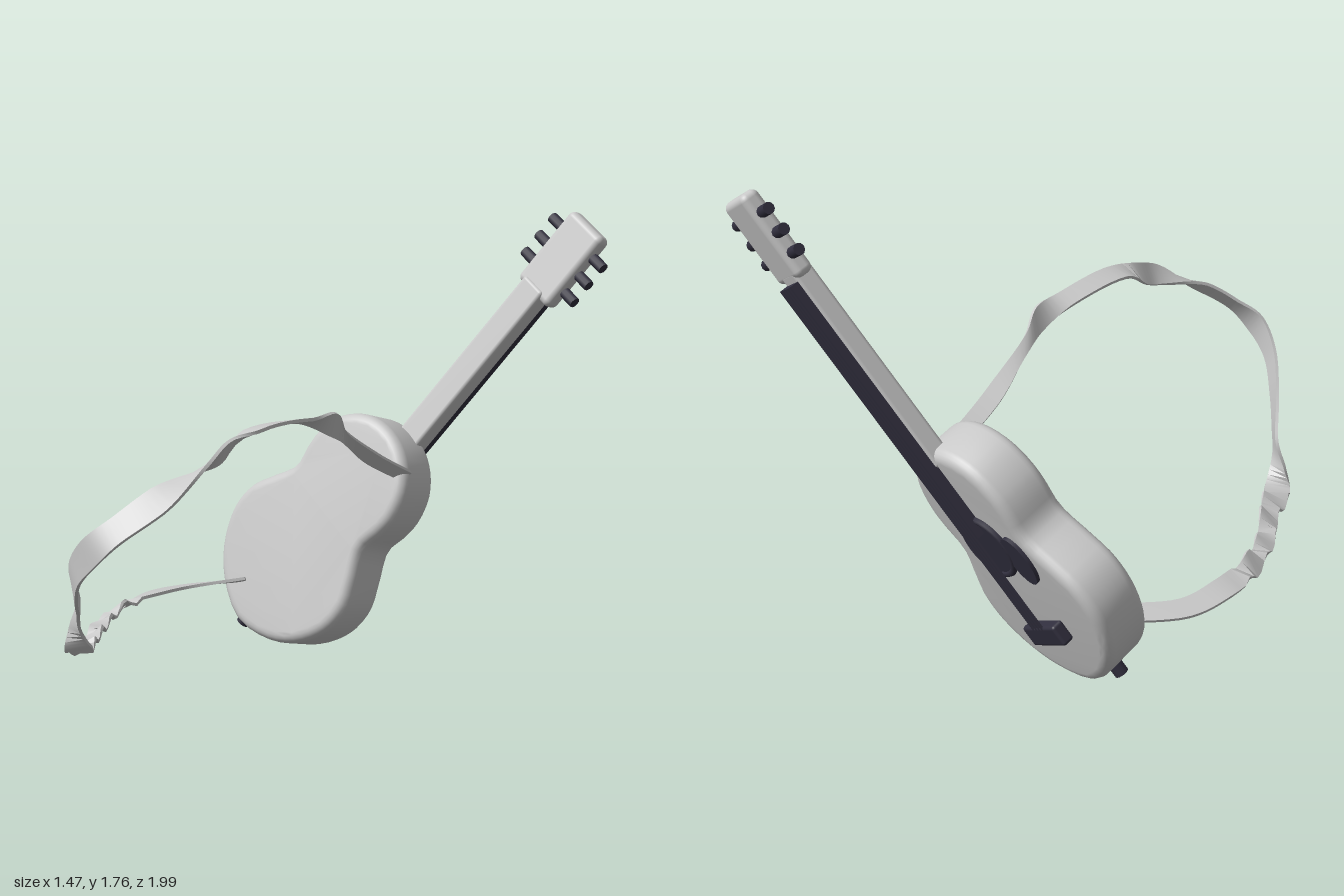
import * as THREE from 'three';
import { toCreasedNormals } from 'three/addons/utils/BufferGeometryUtils.js';
import { RoundedBoxGeometry } from 'three/addons/geometries/RoundedBoxGeometry.js';

const pale = new THREE.MeshStandardMaterial({ name: 'pale grey', color: 0xc9c9c9 });
const dark = new THREE.MeshStandardMaterial({ name: 'dark navy', color: 0x32303f });

function add(parent, name, geometry, material, x = 0, y = 0, z = 0) {
  const mesh = new THREE.Mesh(geometry, material);
  mesh.name = name;
  mesh.position.set(x, y, z);
  parent.add(mesh);
  return mesh;
}

const rounded = (w, h, d, r) => new RoundedBoxGeometry(w, h, d, 3, r);

// Figure-of-eight body: half profile mirrored, then extruded with soft edges
function bodyGeometry() {
  const half = [[0.09, 0.88], [0.17, 0.835], [0.23, 0.765], [0.262, 0.66], [0.258, 0.58], [0.243, 0.49],
    [0.3, 0.38], [0.35, 0.28], [0.357, 0.18], [0.33, 0.09], [0.265, -0.01], [0.165, -0.09]];
  const outline = [[0, 0.895], ...half, [0, -0.143], ...half.map(([x, y]) => [-x, y]).reverse()];
  const curve = new THREE.CatmullRomCurve3(outline.map(([x, y]) => new THREE.Vector3(x, y, 0)), true);
  const points = curve.getPoints(72).slice(0, -1).map((p) => new THREE.Vector2(p.x, p.y));
  const geometry = new THREE.ExtrudeGeometry(new THREE.Shape(points), {
    depth: 0.135, bevelThickness: 0.04, bevelSize: 0.04, bevelOffset: -0.04, bevelSegments: 5,
  });
  return toCreasedNormals(geometry, 0.7);
}

// Ribbon of thin rectangular cross-sections: each row is centre x, y, z and half-width vector
function strapGeometry() {
  const rows = [
    [0.13, 0.77, -0.52, 0.025, 0.02, 0], [0.14, 0.88, -0.3, 0.03, 0.02, 0],
    [0.17, 1.0, -0.1, 0.02, 0.03, 0.02], [0.195, 1.07, 0, 0.015, 0.045, 0],
    [0.185, 1.11, 0.15, 0.038, 0.01, 0], [0.18, 1.12, 0.42, 0.042, 0.008, 0],
    [0.17, 1.07, 0.55, 0.02, 0.04, 0], [0.165, 1.03, 0.65, 0.035, 0.02, 0.02],
    [0.11, 0.94, 0.82, 0.045, -0.03, 0.015], [0.03, 0.85, 0.93, 0.035, -0.035, 0.02],
    [-0.05, 0.77, 0.98, 0.03, -0.04, 0], [-0.14, 0.68, 0.965, 0.03, -0.035, 0.01],
    [-0.25, 0.56, 0.87, 0.03, -0.03, 0.02], [-0.35, 0.45, 0.76, 0.03, -0.025, 0.03],
    [-0.39, 0.36, 0.74, 0.04, 0, 0.01], [-0.42, 0.27, 0.7, 0.04, 0.01, -0.03],
    [-0.48, 0.265, 0.58, 0.035, 0.02, -0.01], [-0.59, 0.26, 0.42, 0.03, 0.01, -0.015],
    [-0.66, 0.26, 0.25, 0.03, 0.025, 0], [-0.685, 0.265, 0.05, 0.045, 0.01, 0],
    [-0.66, 0.26, -0.12, 0.04, 0.01, 0.015], [-0.52, 0.27, -0.32, 0.02, 0.015, 0.03],
  ];
  const path = new THREE.CatmullRomCurve3(rows.map((r) => new THREE.Vector3(r[0], r[1], r[2])));
  const spread = new THREE.CatmullRomCurve3(rows.map((r) => new THREE.Vector3(r[3], r[4], r[5])));
  const steps = 126;
  const position = [];
  const index = [];
  for (let i = 0; i <= steps; i++) {
    const t = i / steps;
    const c = path.getPoint(t);
    const w = spread.getPoint(t);
    // creases in the lower run
    if (t > 0.72 && t < 0.88) w.y += 0.02 * Math.sin(i * 1.3);
    const n = path.getTangent(t).cross(w).normalize().multiplyScalar(0.006);
    for (const [a, b] of [[1, 1], [-1, 1], [-1, -1], [1, -1]]) {
      const p = c.clone().addScaledVector(w, a).addScaledVector(n, b);
      position.push(p.x, p.y, p.z);
    }
    if (i === steps) continue;
    for (let k = 0; k < 4; k++) {
      const a = i * 4 + k;
      const b = i * 4 + (k + 1) % 4;
      index.push(a, b, b + 4, a, b + 4, a + 4);
    }
  }
  const e = steps * 4;
  index.push(0, 2, 1, 0, 3, 2, e, e + 1, e + 2, e, e + 2, e + 3);
  const geometry = new THREE.BufferGeometry();
  geometry.setAttribute('position', new THREE.Float32BufferAttribute(position, 3));
  geometry.setIndex(index);
  return toCreasedNormals(geometry, 0.8);
}

export function createModel() {
  const model = new THREE.Group();
  model.name = 'guitarWithStrap';

  // Guitar leans back, turned in its own plane; its playing side faces -z
  const lean = new THREE.Group();
  lean.name = 'guitarLean';
  lean.rotation.x = -0.298;
  model.add(lean);
  const turn = new THREE.Group();
  turn.name = 'guitarTurn';
  turn.rotation.z = -0.59;
  lean.add(turn);
  const guitar = new THREE.Group();
  guitar.name = 'guitar';
  guitar.position.x = -0.55;
  turn.add(guitar);

  add(guitar, 'body', bodyGeometry(), pale, 0, 0, -0.395);
  add(guitar, 'neck', rounded(0.113, 0.84, 0.08, 0.015), pale, 0, 1.25, -0.405);
  add(guitar, 'headstock', rounded(0.19, 0.335, 0.072, 0.025), pale, 0.008, 1.802, -0.409);
  add(guitar, 'fretboard', new THREE.BoxGeometry(0.1, 1.08, 0.045), dark, 0, 1.09, -0.4525);
  add(guitar, 'bridge', rounded(0.23, 0.085, 0.05, 0.012), dark, 0, 0.11, -0.456);

  // Strings
  for (let i = 0; i < 4; i++) {
    add(guitar, 'string', new THREE.BoxGeometry(0.01, 1.52, 0.008), dark, (i - 1.5) * 0.022, 0.87, -0.477);
  }

  // Sound hole with its rim
  const hole = add(guitar, 'soundHole', new THREE.CylinderGeometry(0.125, 0.125, 0.02, 32), dark, 0, 0.49, -0.435);
  hole.rotation.x = Math.PI / 2;
  add(guitar, 'soundHoleRim', new THREE.TorusGeometry(0.122, 0.013, 8, 32), dark, 0, 0.49, -0.44);

  // Pickguard
  const guard = add(guitar, 'pickguard', new THREE.CylinderGeometry(1, 1, 0.025, 28), dark, -0.155, 0.42, -0.437);
  guard.rotation.x = Math.PI / 2;
  guard.scale.set(0.058, 1, 0.1);

  // Tuning pegs, three on each side
  for (const side of [-1, 1]) {
    for (const y of [1.72, 1.803, 1.886]) {
      const peg = add(guitar, 'tuningPeg', new THREE.CylinderGeometry(0.021, 0.021, 0.07, 10), dark, 0.008 + side * 0.122, y, -0.41);
      peg.rotation.z = Math.PI / 2;
    }
  }

  // Strap pin at the tail
  add(guitar, 'tailPin', new THREE.CylinderGeometry(0.027, 0.027, 0.06, 12), dark, -0.025, -0.155, -0.33);

  add(model, 'strap', strapGeometry(), pale);
  return model;
}
